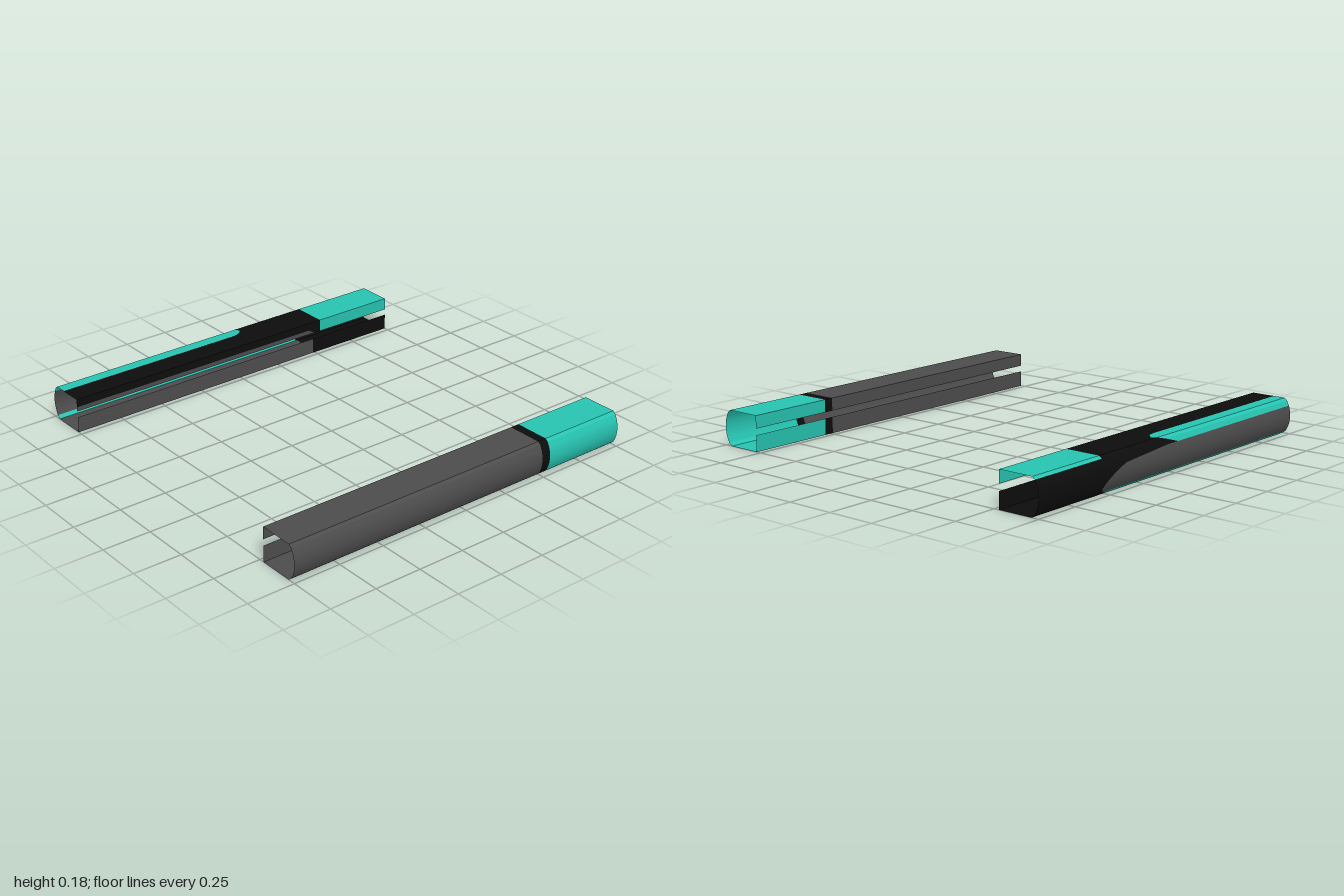
import * as THREE from 'three';

const mat = (name, color) => {
  const m = new THREE.MeshStandardMaterial({ color, side: THREE.DoubleSide });
  m.name = name;
  return m;
};

export function createModel() {
  const grey = mat('grey', 0x4d4d4d);
  const black = mat('black', 0x0d0d0d);
  const teal = mat('teal', 0x27c4b2);

  // Sheet swept along x. points: [depth, y] across the profile.
  // bands: [material, end x] from x = -1; an end may differ for each point.
  function panel(name, side, points, bands) {
    const n = points.length, pos = [], index = [];
    const ends = [-1, ...bands.map(b => b[1])];
    for (const e of ends) {
      points.forEach(([d, y], i) => pos.push(Array.isArray(e) ? e[i] : e, y, side * d));
    }
    const g = new THREE.BufferGeometry();
    bands.forEach((b, k) => {
      g.addGroup(index.length, (n - 1) * 6, k);
      for (let i = 0; i < n - 1; i++) {
        const a = k * n + i, c = a + n;
        if (side > 0) index.push(a, a + 1, c, a + 1, c + 1, c);
        else index.push(a, c, a + 1, a + 1, c, c + 1);
      }
    });
    g.setAttribute('position', new THREE.Float32BufferAttribute(pos, 3));
    g.setIndex(index);
    g.computeVertexNormals();
    const mesh = new THREE.Mesh(g, bands.map(b => b[0]));
    mesh.name = name;
    return mesh;
  }

  // Profile: flat inner wall with a slot, flat top and bottom, bowed outer wall
  const IN = 0.777, H = 0.182, SLOT_LOW = 0.084, SLOT_HIGH = 0.117;
  const bow = y => [1 - 0.022 * ((y - 0.0925) / 0.0775) ** 2, y];
  const topEdge = [0.963, H], lowEdge = [0.96, 0];
  const outer = [0.17, 0.145, 0.125, 0.0925, 0.06, 0.035, 0.015].map(bow);

  // Front bar: plain rings of colour
  const front = new THREE.Group();
  front.name = 'frontBar';
  const rings = [[grey, 0.487], [black, 0.537], [teal, 1]];
  const frontParts = {
    innerWallUpper: [[IN, SLOT_HIGH], [IN, H]],
    top: [[IN, H], topEdge],
    upperBevel: [topEdge, outer[0]],
    outerWall: outer,
    lowerBevel: [outer[6], lowEdge],
    bottom: [lowEdge, [IN, 0]],
    innerWallLower: [[IN, 0], [IN, SLOT_LOW]],
  };
  for (const [name, pts] of Object.entries(frontParts)) front.add(panel(name, 1, pts, rings));

  // Back bar: painted with a round-ended stripe, dark cap and teal end
  const back = new THREE.Group();
  back.name = 'backBar';
  const add = (name, pts, ...bands) => back.add(panel(name, -1, pts, bands));
  const END = 0.537;
  add('innerWallAboveSlot', [[IN, SLOT_HIGH], [IN, 0.14]],
    [grey, [0.5, 0.46]], [black, END], [teal, 1]);
  add('innerWallUpper', [[IN, 0.14], [IN, H]], [black, END], [teal, 1]);
  add('topInner', [[IN, H], [0.9, H]], [black, END], [teal, 1]);
  add('topStripe', [[0.9, H], [0.905, H], [0.92, H], [0.94, H], topEdge],
    [teal, [0.04, 0.075, 0.1, 0.115, 0.1]], [black, END], [teal, 1]);
  add('upperBevel', [topEdge, outer[0]], [teal, [0.1, 0.05]], [black, END], [teal, 1]);
  add('outerWallStripe', outer.slice(0, 2), [teal, [0.05, -0.03]], [black, 1]);
  add('outerWall', outer.slice(1),
    [grey, [0.05, 0.38, 0.47, 0.52, 0.54, 0.53]], [black, 1]);
  add('lowerStripe', [outer[6], lowEdge], [teal, 0.51], [black, 1]);
  add('bottom', [lowEdge, [IN, 0]], [grey, [0.52, 0.49]], [black, 1]);
  add('innerWallLower', [[IN, 0], [IN, SLOT_LOW]], [grey, 0.49], [black, 1]);

  const model = new THREE.Group();
  model.name = 'pairOfSlottedBars';
  model.add(front, back);
  return model;
}
